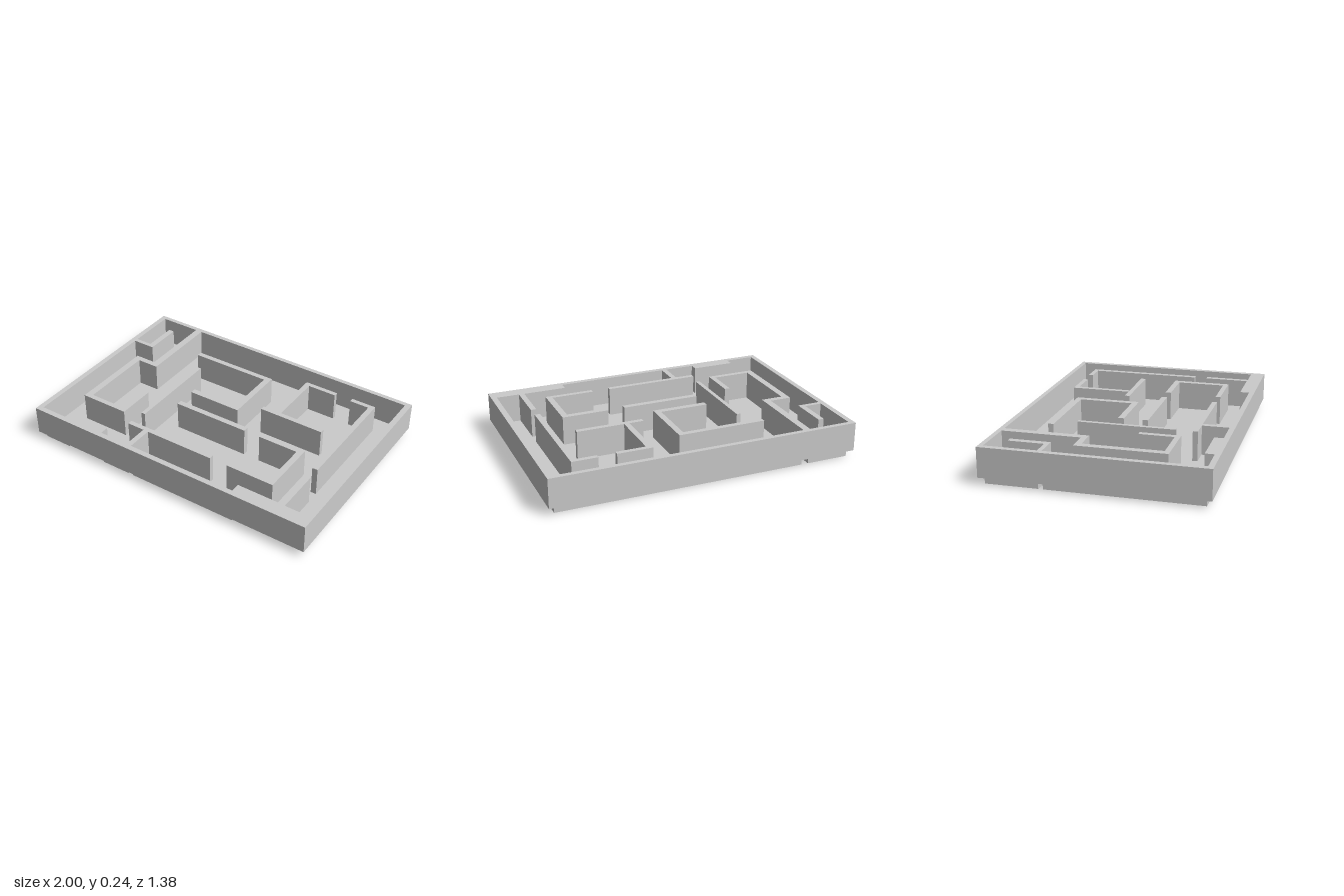
import * as THREE from 'three';

const RIM_BASE = 0.002, FLOOR = 0.048, WALL_TOP = 0.237;

// Outline of the walkable interior as [x, z]; walls joined to the frame cut into it
const interior = [
  [-0.965, -0.66], [-0.688, -0.66], [-0.688, -0.16], [-0.832, -0.16], [-0.832, 0.405],
  [-0.503, 0.405], [-0.503, 0.15], [-0.538, 0.15], [-0.538, 0.372], [-0.788, 0.372],
  [-0.788, -0.122], [-0.642, -0.122], [-0.642, -0.66], [0.963, -0.66], [0.963, 0.598],
  [0.813, 0.598], [0.813, 0.305], [0.777, 0.305], [0.777, 0.595], [0.493, 0.595],
  [0.493, 0.655], [-0.25, 0.655], [-0.25, 0.485], [0.22, 0.485], [0.22, 0.453],
  [-0.405, 0.453], [-0.405, 0.485], [-0.285, 0.485], [-0.285, 0.655], [-0.485, 0.655],
  [-0.485, 0.598], [-0.77, 0.598], [-0.77, 0.655], [-0.965, 0.655], [-0.965, -0.302],
  [-0.812, -0.302], [-0.812, -0.555], [-0.85, -0.555], [-0.85, -0.33], [-0.965, -0.33],
];

const rect = (x0, z0, x1, z1) => [[x0, z0], [x1, z0], [x1, z1], [x0, z1]];

// Free-standing inner walls
const innerWalls = {
  backHookWall: [[-0.49, -0.435], [0.092, -0.435], [0.092, -0.013], [-0.27, -0.013],
    [-0.27, -0.052], [0.052, -0.052], [0.052, -0.4], [-0.49, -0.4]],
  longCrossWall: rect(-0.405, -0.275, -0.378, 0.35),
  backLeftRoomWall: [[0.305, -0.535], [0.532, -0.535], [0.532, -0.505], [0.34, -0.505],
    [0.34, -0.143], [0.65, -0.143], [0.65, -0.111], [0.21, -0.111], [0.21, -0.143], [0.305, -0.143]],
  leftCornerWall: [[0.647, -0.535], [0.813, -0.535], [0.813, 0.22], [0.777, 0.22],
    [0.777, -0.505], [0.647, -0.505]],
  centreWall: rect(-0.27, 0.105, 0.245, 0.142),
  frontLeftRoomWall: [[0.355, 0.105], [0.662, 0.105], [0.662, 0.485], [0.34, 0.485],
    [0.34, 0.453], [0.622, 0.453], [0.622, 0.142], [0.355, 0.142]],
};

// Plan shape, wound counter-clockwise, with holes
const toPoints = (outline) => outline.map(([x, z]) => new THREE.Vector2(x, -z)).reverse();
function planShape(outline, holes) {
  const shape = new THREE.Shape(toPoints(outline));
  shape.holes = holes.map((hole) => new THREE.Path(toPoints(hole)));
  return shape;
}

// Upright thin band that follows a closed outline
function bandGeometry(outline, y0, y1) {
  const positions = [];
  outline.forEach(([x0, z0], i) => {
    const [x1, z1] = outline[(i + 1) % outline.length];
    positions.push(x0, y0, z0, x0, y1, z0, x1, y1, z1);
    positions.push(x0, y0, z0, x1, y1, z1, x1, y0, z1);
  });
  const geometry = new THREE.BufferGeometry();
  geometry.setAttribute('position', new THREE.Float32BufferAttribute(positions, 3));
  geometry.computeVertexNormals();
  return geometry;
}

export function createModel() {
  const group = new THREE.Group();
  group.name = 'mazeTray';
  const solid = new THREE.MeshStandardMaterial({ color: 0xcccccc });
  const sheet = new THREE.MeshStandardMaterial({ color: 0xcccccc, side: THREE.DoubleSide });

  const add = (name, geometry, material) => {
    const mesh = new THREE.Mesh(geometry, material);
    mesh.name = name;
    group.add(mesh);
  };
  const addWalls = (name, outline, holes) => {
    const geometry = new THREE.ExtrudeGeometry(planShape(outline, holes),
      { depth: WALL_TOP - FLOOR, bevelEnabled: false });
    add(name, geometry.rotateX(-Math.PI / 2).translate(0, FLOOR, 0), solid);
  };

  // Thin floor between the walls, level with their undersides
  const islands = Object.values(innerWalls);
  const floor = new THREE.ShapeGeometry(planShape(interior, islands));
  add('floor', floor.rotateX(-Math.PI / 2).translate(0, FLOOR, 0), sheet);

  // Thin rim hanging below the floor along the interior outline
  add('lowerRim', bandGeometry(interior, RIM_BASE, FLOOR), sheet);

  // Outer frame with the walls joined to it
  addWalls('outerFrame', rect(-1, -0.69, 1, 0.69), [interior]);

  // Inner walls and the rims beneath them; the long cross wall reaches lowest
  for (const [name, outline] of Object.entries(innerWalls)) {
    addWalls(name, outline, []);
    const low = name === 'longCrossWall' ? 0 : RIM_BASE;
    add(name + 'Rim', bandGeometry(outline, low, FLOOR), sheet);
  }
  return group;
}
